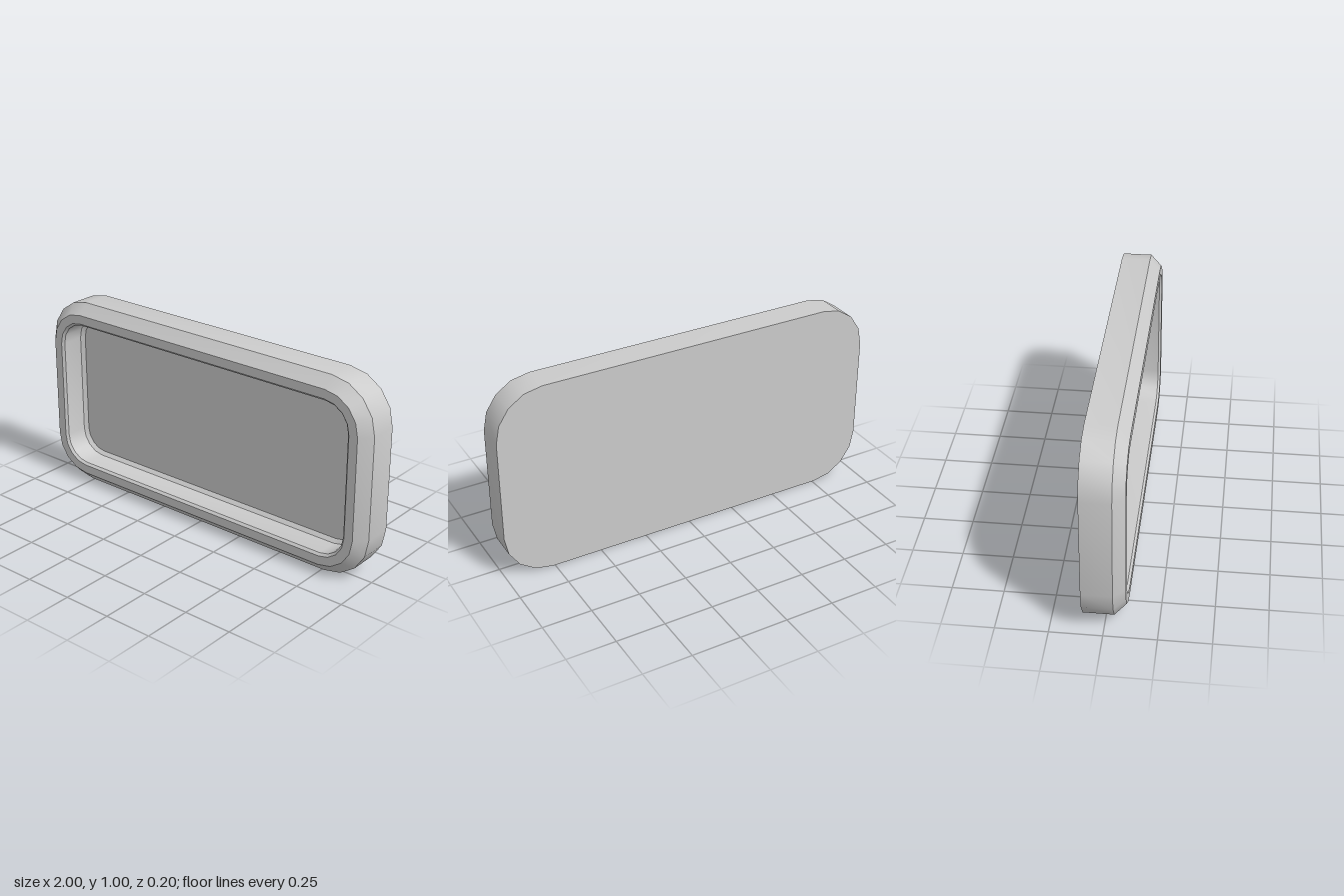
import * as THREE from 'three';
import { toCreasedNormals } from 'three/addons/utils/BufferGeometryUtils.js';

const HALF_W = 1, HALF_H = 0.5, RADIUS = 0.24, CORNER_STEPS = 4;

// Rounded rectangle at a given inset from the outline, counter-clockwise from the front
function ring([inset, z]) {
  const points = [];
  const r = RADIUS - inset;
  [[1, 1], [-1, 1], [-1, -1], [1, -1]].forEach(([sx, sy], corner) => {
    for (let i = 0; i <= CORNER_STEPS; i++) {
      const a = (corner + i / CORNER_STEPS) * Math.PI / 2;
      points.push([
        sx * (HALF_W - RADIUS) + r * Math.cos(a),
        HALF_H + sy * (HALF_H - RADIUS) + r * Math.sin(a),
        z,
      ]);
    }
  });
  return points;
}

// Single centre point repeated, used to close a flat panel
const centre = (z) => ring([0, z]).map(() => [0, HALF_H, z]);

// Skin a list of rings
function skin(name, rings, material) {
  const positions = [];
  const same = (p, q) => p.every((v, k) => v === q[k]);
  const tri = (a, b, c) => {
    if (!same(a, b) && !same(b, c) && !same(c, a)) positions.push(...a, ...b, ...c);
  };
  for (let k = 0; k < rings.length - 1; k++) {
    const a = rings[k], b = rings[k + 1];
    for (let i = 0; i < a.length; i++) {
      const j = (i + 1) % a.length;
      tri(a[i], a[j], b[j]);
      tri(a[i], b[j], b[i]);
    }
  }
  const geometry = new THREE.BufferGeometry();
  geometry.setAttribute('position', new THREE.Float32BufferAttribute(positions, 3));
  const mesh = new THREE.Mesh(toCreasedNormals(geometry, Math.PI / 6), material);
  mesh.name = name;
  return mesh;
}

export function createModel() {
  const group = new THREE.Group();
  group.name = 'recessedPanel';
  const grey = new THREE.MeshStandardMaterial({ color: 0xcccccc });

  // Profile points are [inset from the outline, z]
  const back = [0, -0.1];
  const rimInner = [0.1, 0.1];
  const floorEdge = [0.13, -0.045];

  group.add(
    skin('backPanel', [centre(back[1]), ring(back)], grey),
    // Side wall, front chamfer and flat rim
    skin('frame', [back, [0, 0.046], [0.054, 0.1], rimInner].map(ring), grey),
    // Inner lip, recess wall and chamfer down to the floor
    skin('recessWall', [rimInner, [0.112, 0.088], [0.112, -0.028], floorEdge].map(ring), grey),
    skin('recessFloor', [ring(floorEdge), centre(floorEdge[1])], grey),
  );
  return group;
}
